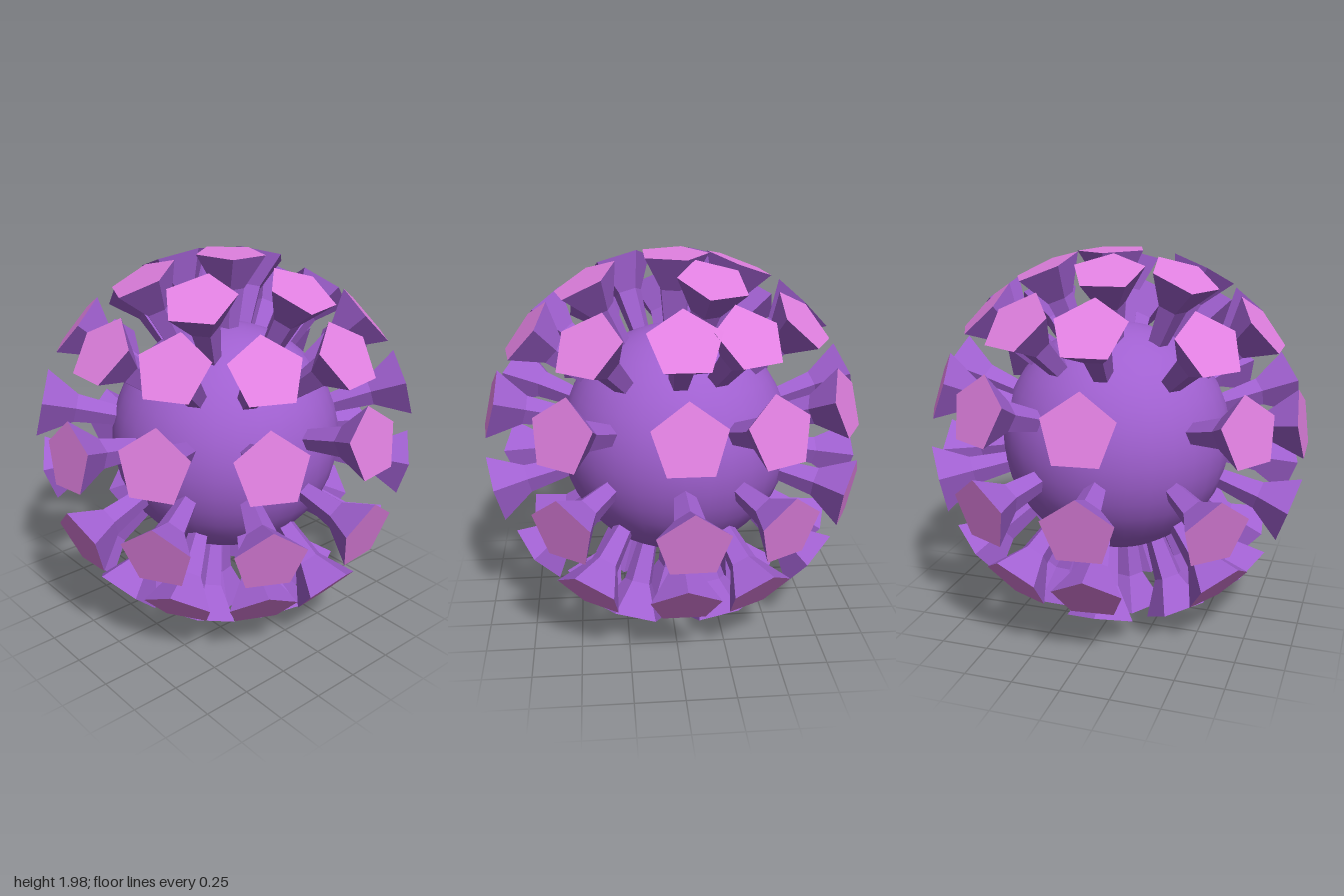
import * as THREE from 'three';

// Spike directions per ring: [azimuth from +z toward +x, elevation, optional spin], in degrees
const RINGS = {
  top: [[180, 88, -90]],
  upperPolar: [[35, 62], [102, 62], [206, 67], [278, 69], [335, 64.5]],
  upper: [[0, 40], [32, 39.5], [64, 39], [98, 39], [143, 42], [180, 45],
    [206, 45], [243, 45], [276, 45], [320, 39]],
  upperEquator: [[0, 8.5, 7], [30.5, 13.5], [62.5, 13.5], [96.5, 14], [142.5, 17], [180, 18.5],
    [207, 18], [242, 18], [276, 17], [326, 13.5]],
  lowerEquator: [[0, -19, 6], [30.5, -14], [62.5, -14], [95.5, -14], [143, -10.7], [181, -10.7],
    [210, -10.7], [244, -10.7], [276, -10.7], [315, -13.5]],
  lower: [[0, -46, 6], [32, -41], [64, -40.5], [95, -41], [143, -38], [180, -38],
    [209, -38], [245, -38], [276, -38], [330, -41]],
  lowerPolar: [[36, -63], [91, -64], [147, -62], [211, -64], [275, -64], [333, -63]],
  bottom: [[0, -86]],
};

export function createModel() {
  const model = new THREE.Group();
  model.name = 'spikedSphere';

  const purple = new THREE.MeshStandardMaterial({ color: 0xa060d0 });
  const purpleFlat = new THREE.MeshStandardMaterial({ color: 0xa060d0, flatShading: true });
  const pink = new THREE.MeshStandardMaterial({ color: 0xe080e0, flatShading: true });

  // Smooth round body
  const body = new THREE.Mesh(new THREE.SphereGeometry(0.61, 32, 20), purple);
  body.name = 'body';
  body.position.set(-0.03, 1, -0.02);
  model.add(body);

  // Five-sided stem that flares to a wide rim, and the flat cap that closes it
  const rimRadius = 0.184;
  const rimHeight = 0.985;
  const profile = [[0.05, 0.55], [0.078, 0.81], [rimRadius, rimHeight]]
    .map(([r, y]) => new THREE.Vector2(r, y));
  const stemGeometry = new THREE.LatheGeometry(profile, 5);
  const capGeometry = new THREE.CircleGeometry(rimRadius, 5)
    .rotateX(-Math.PI / 2).rotateY(-Math.PI / 2).translate(0, rimHeight, 0);

  function addSpike(ring, [azimuth, elevation, spin = 0]) {
    const a = THREE.MathUtils.degToRad(azimuth);
    const e = THREE.MathUtils.degToRad(elevation);
    const out = new THREE.Vector3(
      Math.cos(e) * Math.sin(a), Math.sin(e), Math.cos(e) * Math.cos(a));
    const up = new THREE.Vector3(
      -Math.sin(e) * Math.sin(a), Math.cos(e), -Math.sin(e) * Math.cos(a));
    const side = new THREE.Vector3().crossVectors(out, up);

    const spike = new THREE.Group();
    spike.name = 'spike';
    spike.quaternion.setFromRotationMatrix(new THREE.Matrix4().makeBasis(side, out, up));
    spike.rotateY(THREE.MathUtils.degToRad(spin));
    const stem = new THREE.Mesh(stemGeometry, purpleFlat);
    stem.name = 'stem';
    const cap = new THREE.Mesh(capGeometry, pink);
    cap.name = 'cap';
    spike.add(stem, cap);
    ring.add(spike);
  }

  // Rings of spikes from pole to pole
  for (const [name, spikes] of Object.entries(RINGS)) {
    const ring = new THREE.Group();
    ring.name = `${name}Spikes`;
    ring.position.set(-0.018, 1, -0.008);
    spikes.forEach((s) => addSpike(ring, s));
    model.add(ring);
  }
  return model;
}
